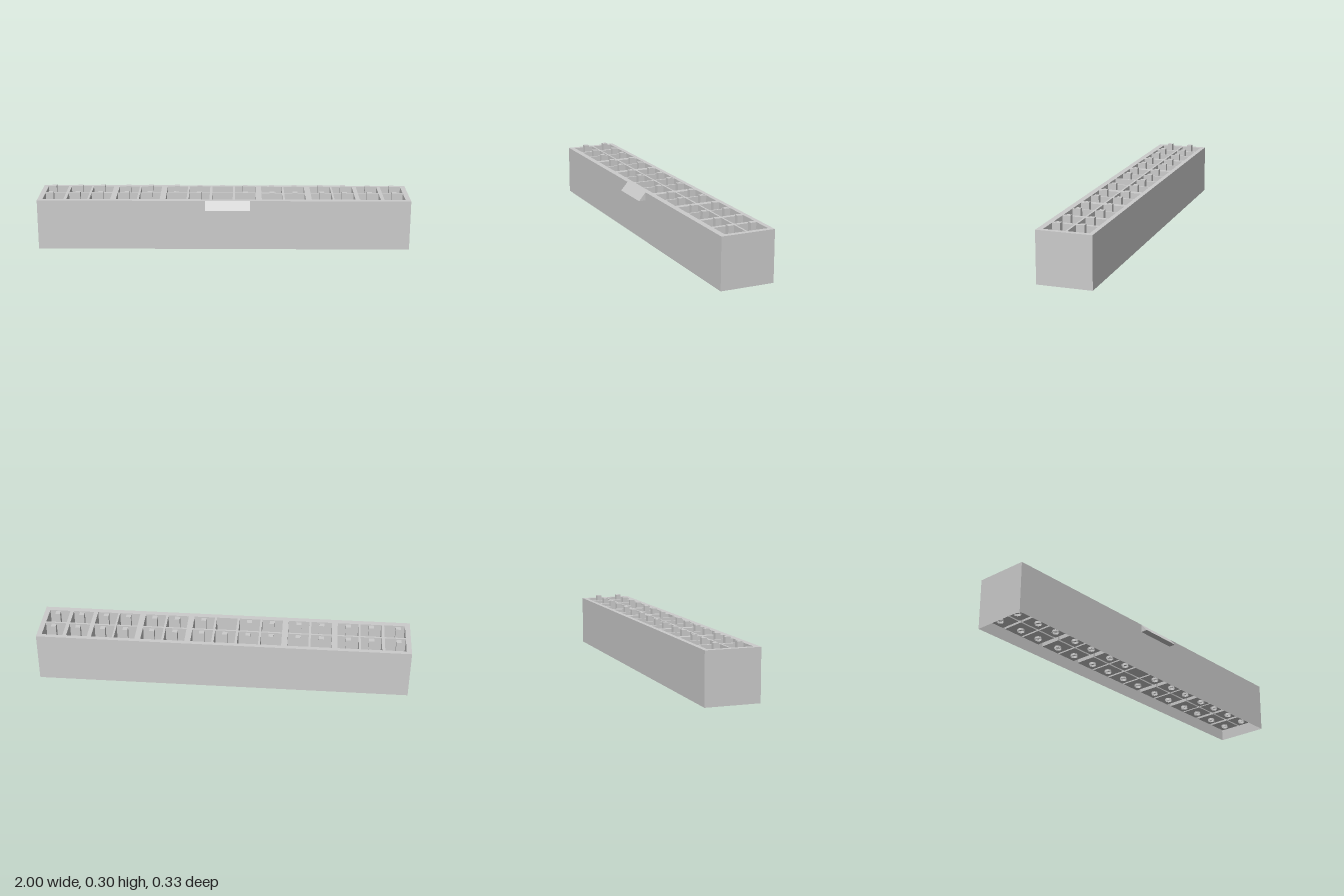
import * as THREE from 'three';

const mat = new THREE.MeshStandardMaterial({ color: 0xcccccc, flatShading: true, side: THREE.DoubleSide });
const TOP = 0.272, FLOOR = 0.05, CELL = 0.112, PIN = 0.027;
const BACK = -0.163, FRONT = 0.125;
const columns = [-0.917, -0.789, -0.666, -0.523, -0.4, -0.256, -0.133, -0.008,
  0.116, 0.26, 0.384, 0.528, 0.65, 0.785, 0.917];
const rows = [-0.0835, 0.0385];

function add(parent, name, geometry, x = 0, y = 0, z = 0) {
  const mesh = new THREE.Mesh(geometry, mat);
  mesh.name = name;
  mesh.position.set(x, y, z);
  parent.add(mesh);
  return mesh;
}

// Thin-walled box keeping only the listed faces (0..5 = +x -x +y -y +z -z)
function openBox(w, h, d, faces) {
  const g = new THREE.BoxGeometry(w, h, d);
  const all = Array.from(g.index.array);
  g.setIndex(faces.flatMap((f) => all.slice(f * 6, f * 6 + 6)));
  g.clearGroups();
  return g;
}

function rectangle(path, x0, y0, x1, y1) {
  path.moveTo(x0, y0);
  path.lineTo(x1, y0);
  path.lineTo(x1, y1);
  path.lineTo(x0, y1);
  path.closePath();
  return path;
}

export function createModel() {
  const model = new THREE.Group();
  model.name = 'pinConnector';

  // Outer skirt, open underneath
  add(model, 'housingWalls', openBox(2, TOP, FRONT - BACK, [0, 1, 4, 5]), 0, TOP / 2, (FRONT + BACK) / 2);

  // Top deck with one square opening per cell
  const deck = rectangle(new THREE.Shape(), -1, -FRONT, 1, -BACK);
  const half = CELL / 2;
  for (const x of columns) {
    for (const z of rows) {
      deck.holes.push(rectangle(new THREE.Path(), x - half, -z - half, x + half, -z + half));
    }
  }
  add(model, 'topDeck', new THREE.ShapeGeometry(deck).rotateX(-Math.PI / 2), 0, TOP, 0);

  // Pockets with their pins; one front cell stays empty
  const pocket = openBox(CELL, TOP - FLOOR, CELL, [0, 1, 3, 4, 5]);
  const pinTop = 0.295;
  const pin = new THREE.BoxGeometry(PIN, pinTop - FLOOR, PIN);
  const socket = new THREE.CylinderGeometry(0.019, 0.019, 0.012, 8, 1, true);
  columns.forEach((x, i) => {
    rows.forEach((z, j) => {
      const cell = new THREE.Group();
      cell.name = 'cell';
      cell.position.set(x, 0, z);
      model.add(cell);
      add(cell, 'pocket', pocket, 0, (TOP + FLOOR) / 2, 0);
      if (i === 7 && j === 1) return;
      // The first column's pins sit slightly off centre
      const dx = i === 0 ? -0.016 : 0;
      add(cell, 'pin', pin, dx, (pinTop + FLOOR) / 2, 0);
      add(cell, 'pinSocket', socket, dx, FLOOR - 0.006, 0);
    });
  });

  // Wedge-shaped latch catch on the front
  const wedge = new THREE.Shape();
  wedge.moveTo(0, 0);
  wedge.lineTo(0.038, -0.044);
  wedge.lineTo(0, -0.044);
  wedge.closePath();
  const catchGeometry = new THREE.ExtrudeGeometry(wedge, { depth: 0.24, bevelEnabled: false });
  catchGeometry.rotateY(-Math.PI / 2); // profile into the y-z plane, depth along -x
  add(model, 'latchCatch', catchGeometry, 0.14, TOP, FRONT);

  return model;
}
